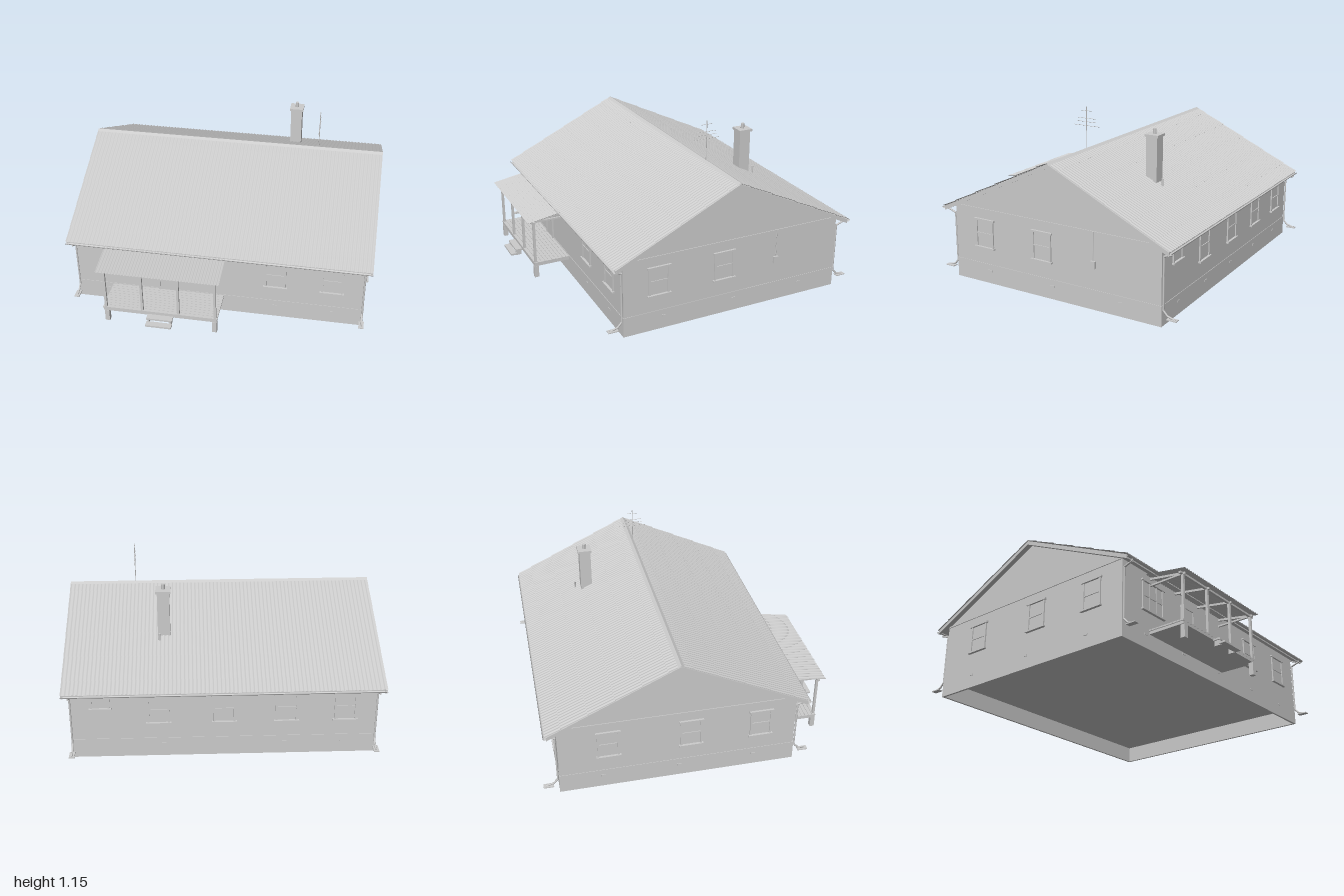
import * as THREE from 'three';

const CZ = -0.112;          // ridge line in z
const HALF_W = 0.96;        // walls, half length in x
const HALF_D = 0.762;       // walls, half depth in z
const EAVE = 0.825;         // roof run from ridge to eave
const RIDGE = 0.88;
const PITCH = Math.atan(0.479);

const grey = new THREE.MeshStandardMaterial({ color: 0xcccccc });
const thin = new THREE.MeshStandardMaterial({ color: 0xcccccc, side: THREE.DoubleSide });

function add(parent, name, geometry, x = 0, y = 0, z = 0, material = grey) {
  const mesh = new THREE.Mesh(geometry, material);
  mesh.name = name;
  mesh.position.set(x, y, z);
  parent.add(mesh);
  return mesh;
}

// box given by its limits on each axis
function box(parent, name, x0, x1, y0, y1, z0, z1) {
  return add(parent, name, new THREE.BoxGeometry(x1 - x0, y1 - y0, z1 - z0),
    (x0 + x1) / 2, (y0 + y1) / 2, (z0 + z1) / 2);
}

// round bar between two points
function rod(parent, name, a, b, r) {
  const p = new THREE.Vector3(...a), q = new THREE.Vector3(...b);
  const d = q.clone().sub(p);
  const mesh = add(parent, name, new THREE.CylinderGeometry(r, r, d.length(), 8));
  mesh.position.copy(p).add(q).multiplyScalar(0.5);
  mesh.quaternion.setFromUnitVectors(new THREE.Vector3(0, 1, 0), d.normalize());
  return mesh;
}

function group(parent, name, x = 0, y = 0, z = 0, turn = 0) {
  const g = new THREE.Group();
  g.name = name;
  g.position.set(x, y, z);
  g.rotation.y = turn;
  parent.add(g);
  return g;
}

// extrude a (z, y) outline along x, centred on the ridge line
function prism(parent, name, points, x0, x1) {
  const shape = new THREE.Shape(points.map(([z, y]) => new THREE.Vector2(-z, y)));
  const geo = new THREE.ExtrudeGeometry(shape, { depth: x1 - x0, bevelEnabled: false });
  geo.rotateY(Math.PI / 2);
  return add(parent, name, geo, x0, 0, CZ);
}

// wavy sheet lying on a slope, lower edge lifted for the overlap
function wavySheet(width, length, waves, amp, lift) {
  const geo = new THREE.PlaneGeometry(width, length, waves * 6, 1);
  const p = geo.attributes.position;
  for (let i = 0; i < p.count; i++) {
    const wave = amp * Math.cos((p.getX(i) / width + 0.5) * waves * Math.PI * 2);
    p.setZ(i, wave + lift * (0.5 - p.getY(i) / length));
  }
  geo.computeVertexNormals();
  return geo;
}

// window or door frame facing +z, origin at the centre of the opening
function windowUnit(parent, x, y, z, turn, w, h, panes = 1) {
  const g = group(parent, 'window', x, y, z, turn);
  const a = w / 2, b = h / 2, t = 0.012;
  box(g, 'glass', -a, a, -b, b, -0.004, 0.002);
  for (const s of [-1, 1]) box(g, 'jamb', s * (a - t / 2) - t / 2, s * (a - t / 2) + t / 2, -b, b, 0, 0.009);
  box(g, 'head', -a - 0.009, a + 0.009, b - 0.008, b + 0.004, 0, 0.014);
  box(g, 'sill', -a - 0.009, a + 0.009, -b - 0.004, -b + 0.006, 0, 0.018);
  if (h > 0.12) box(g, 'transom', -a, a, -0.004, 0.004, 0, 0.007);
  for (let i = 1; i < panes; i++) {
    const mx = -a + (w * i) / panes;
    box(g, 'mullion', mx - 0.004, mx + 0.004, -b, b, 0, 0.007);
  }
}

function buildRoof(root) {
  const roof = group(root, 'roof');
  const chevron = (top, bottom, run) => [
    [-run, top - run * 0.479], [-run, bottom - run * 0.479], [0, bottom],
    [run, bottom - run * 0.479], [run, top - run * 0.479], [0, top]];
  prism(roof, 'roofDeck', chevron(0.872, 0.858, EAVE - 0.005), -0.985, 0.985);
  for (const x of [-0.998, 0.984]) prism(roof, 'bargeBoard', chevron(0.877, 0.851, EAVE), x, x + 0.014);

  const rowEdges = [RIDGE, 0.845, 0.77, 0.69, 0.61, 0.53, 0.483];
  for (const turn of [0, Math.PI]) {
    const slope = group(roof, 'roofSlope', 0, 0, CZ, turn);
    for (let i = 0; i < rowEdges.length - 1; i++) {
      const top = rowEdges[i], bottom = rowEdges[i + 1];
      const mid = (top + bottom) / 2;
      const sheet = add(slope, 'roofSheets',
        wavySheet(2, (top - bottom) / Math.sin(PITCH) + 0.006, 80, 0.0025, 0.005),
        0, mid, (RIDGE - mid) / 0.479, thin);
      sheet.rotation.x = PITCH - Math.PI / 2;
    }
    // gutter and eave board
    box(slope, 'eaveBoard', -0.99, 0.99, 0.462, 0.478, EAVE - 0.012, EAVE - 0.003);
    const gutter = new THREE.CylinderGeometry(0.012, 0.012, 2, 10, 1, true, Math.PI, Math.PI);
    gutter.rotateZ(Math.PI / 2);
    add(slope, 'gutter', gutter, 0, 0.478, EAVE + 0.007, thin);

    // downpipes with spout and splash tile at both corners
    for (const x of [-0.955, 0.955]) {
      const path = [[0.83, 0.468], [0.83, 0.455], [0.772, 0.435], [0.772, 0.105], [0.80, 0.075], [0.85, 0.06]];
      for (let i = 0; i < path.length - 1; i++)
        rod(slope, 'downpipe', [x, path[i][1], path[i][0]], [x, path[i + 1][1], path[i + 1][0]], 0.006);
      box(slope, 'splashTile', x - 0.017, x + 0.017, 0.056, 0.062, 0.80, 0.865);
    }
  }
  prism(roof, 'ridgeCap', [[-0.02, 0.874], [0, 0.881], [0.02, 0.874], [0, 0.886]].reverse(), -1, 1);
}

function buildPorch(root) {
  const porch = group(root, 'porch');
  for (let i = 0; i < 10; i++) {
    const z = 0.65 + i * 0.025;
    box(porch, 'deckBoard', -0.72, 0.04, 0.115, 0.125, z, z + 0.023);
  }
  box(porch, 'deckFrame', -0.715, 0.035, 0.097, 0.115, 0.65, 0.897);
  for (const x of [-0.695, 0.022]) box(porch, 'footing', x - 0.015, x + 0.015, 0.015, 0.097, 0.87, 0.9);
  for (const x of [-0.70, -0.457, -0.217, 0.024]) {
    box(porch, 'post', x - 0.008, x + 0.008, 0.125, 0.42, 0.88, 0.896);
    const rafter = add(porch, 'rafter', new THREE.BoxGeometry(0.012, 0.014, 0.26), x, 0.442, 0.78);
    rafter.rotation.x = 0.173;
  }
  box(porch, 'beam', -0.73, 0.05, 0.415, 0.428, 0.88, 0.896);
  for (const x of [-0.70, 0.024]) box(porch, 'sideBeam', x - 0.006, x + 0.006, 0.415, 0.426, 0.65, 0.88);

  const sheet = add(porch, 'porchRoof', wavySheet(0.8, 0.29, 40, 0.003, 0), -0.34, 0.455, 0.792, thin);
  sheet.rotation.x = 0.173 - Math.PI / 2;

  // steps
  box(porch, 'step', -0.42, -0.25, 0.092, 0.104, 0.895, 0.942);
  box(porch, 'step', -0.42, -0.25, 0.064, 0.076, 0.935, 0.977);
  for (const x of [-0.408, -0.262]) box(porch, 'stringer', x - 0.005, x + 0.005, 0.058, 0.095, 0.9, 0.94);
}

export function createModel() {
  const root = new THREE.Group();
  root.name = 'house';

  // walls with gables, floor at the underside
  const eaveY = 0.858 - HALF_D * 0.479;
  prism(root, 'walls', [[-HALF_D, 0.11], [-HALF_D, eaveY], [0, 0.858], [HALF_D, eaveY], [HALF_D, 0.11]].reverse(), -HALF_W, HALF_W);

  // open foundation ring
  const zF = CZ + HALF_D, zB = CZ - HALF_D;
  for (const z of [zF - 0.012, zB - 0.003]) box(root, 'foundation', -0.963, 0.963, 0, 0.13, z, z + 0.015);
  for (const x of [-0.963, 0.948]) box(root, 'foundation', x, x + 0.015, 0, 0.13, zB, zF);
  for (const s of [-1, 1]) box(root, 'gableBand', s * 0.962 - 0.003, s * 0.962 + 0.003, 0.492, 0.502, zB, zF);

  // foundation vents
  for (const z of [zB - 0.004, zF + 0.004])
    for (const x of [-0.75, -0.38, 0, 0.38, 0.75]) box(root, 'vent', x - 0.014, x + 0.014, 0.08, 0.092, z - 0.002, z + 0.002);
  for (const x of [-0.965, 0.965])
    for (const z of [-0.6, -0.11, 0.38]) box(root, 'vent', x - 0.002, x + 0.002, 0.08, 0.092, z - 0.014, z + 0.014);

  // windows: front, back, then both ends
  windowUnit(root, -0.68, 0.335, zF, 0, 0.2, 0.195, 3);
  windowUnit(root, 0.38, 0.335, zF, 0, 0.14, 0.19);
  windowUnit(root, 0.75, 0.335, zF, 0, 0.14, 0.19);
  windowUnit(root, 0.77, 0.39, zB, Math.PI, 0.12, 0.085);
  for (const x of [0.41, 0, -0.39, -0.76]) windowUnit(root, x, 0.335, zB, Math.PI, 0.14, 0.19);
  for (const z of [0.415, -0.035]) windowUnit(root, HALF_W, 0.335, z, Math.PI / 2, 0.14, 0.19);
  for (const z of [0.42, -0.035, -0.56]) windowUnit(root, -HALF_W, 0.335, z, -Math.PI / 2, 0.14, 0.19);

  // door
  const door = group(root, 'door', -0.335, 0, zF);
  box(door, 'doorLeaf', -0.055, 0.055, 0.125, 0.4, -0.004, 0.006);
  for (const s of [-1, 1]) box(door, 'doorJamb', s * 0.06 - 0.006, s * 0.06 + 0.006, 0.125, 0.41, 0, 0.012);
  box(door, 'doorHead', -0.066, 0.066, 0.4, 0.412, 0, 0.012);
  rod(door, 'doorHandle', [0.045, 0.262, 0], [0.045, 0.262, 0.016], 0.004);

  // meter box with its conduit
  box(root, 'meterBox', 0.958, 0.975, 0.27, 0.315, -0.43, -0.397);
  rod(root, 'conduit', [0.965, 0.315, -0.413], [0.965, 0.5, -0.413], 0.003);

  buildRoof(root);
  buildPorch(root);

  // chimney and vent pipe
  box(root, 'chimney', 0.333, 0.411, 0.62, 0.97, -0.533, -0.455);
  box(root, 'chimneyCap', 0.324, 0.42, 0.97, 0.986, -0.543, -0.447);
  rod(root, 'chimneyPot', [0.372, 0.98, -0.495], [0.372, 1.02, -0.495], 0.012);
  rod(root, 'ventPipe', [0.4, 0.64, -0.57], [0.4, 0.71, -0.57], 0.006);

  // aerial
  rod(root, 'aerialMast', [0.565, 0.86, CZ], [0.565, 1.15, CZ], 0.0025);
  for (const [y, half] of [[1.125, 0.04], [1.077, 0.065], [1.055, 0.07], [1.03, 0.095]])
    rod(root, 'aerialBar', [0.565, y, CZ - half], [0.565, y, CZ + half], 0.0015);

  return root;
}
